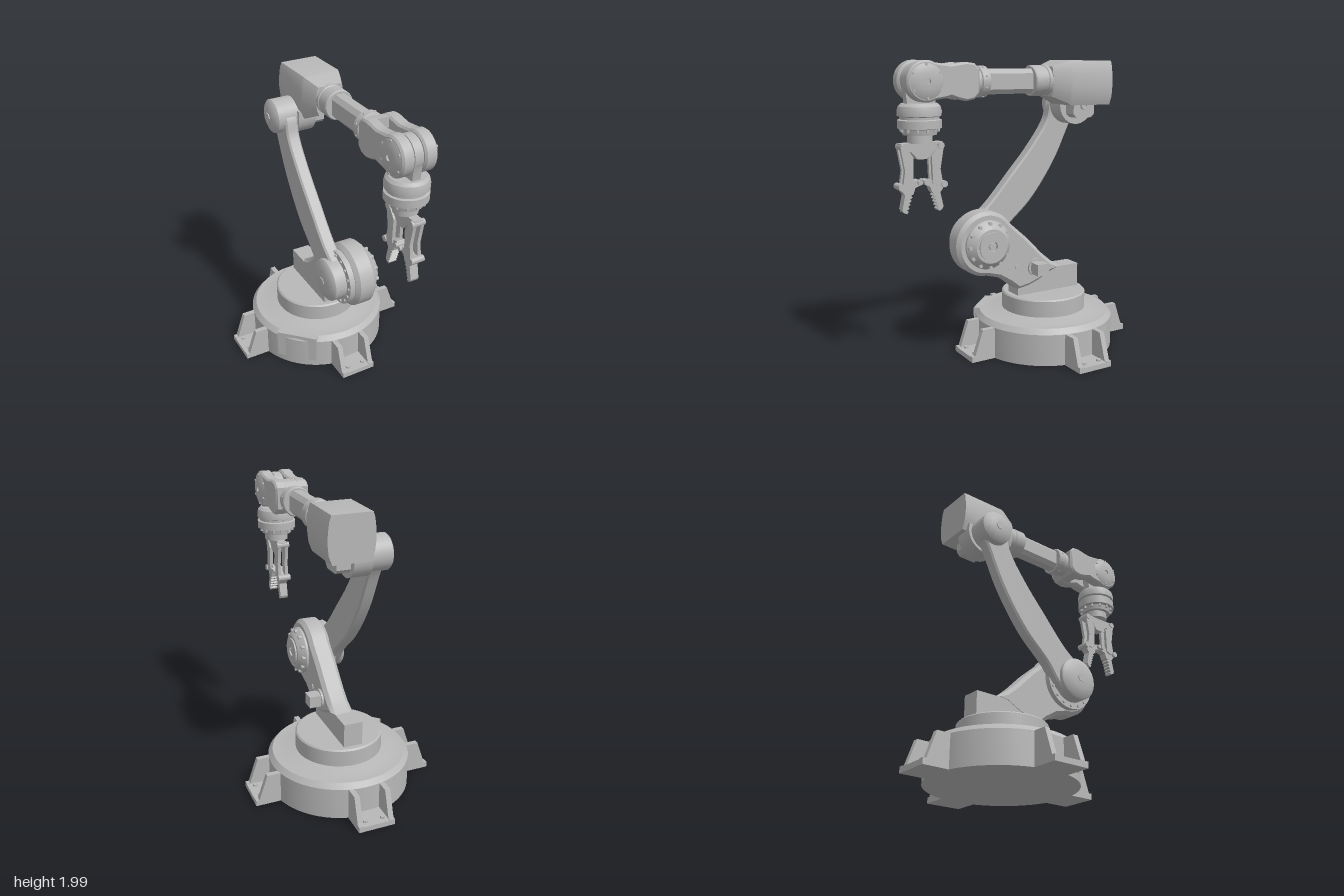
import * as THREE from 'three';
import { toCreasedNormals } from 'three/addons/utils/BufferGeometryUtils.js';

const grey = new THREE.MeshStandardMaterial({ color: 0xb8b8b8 });
grey.name = 'machine grey';

export function createModel() {
  const root = new THREE.Group();
  root.name = 'robotArm';

  const add = (name, geo, x = 0, y = 0, z = 0, parent = root) => {
    const mesh = new THREE.Mesh(toCreasedNormals(geo, 0.55), grey);
    mesh.name = name;
    mesh.position.set(x, y, z);
    parent.add(mesh);
    return mesh;
  };
  // Plate with a [z, y] outline, running from x0 to x1
  const plate = (name, pts, x0, x1, bevel = 0, parent = root) => {
    const shape = new THREE.Shape(pts.map(([z, y]) => new THREE.Vector2(-z, y)));
    const geo = new THREE.ExtrudeGeometry(shape, {
      depth: x1 - x0 - 2 * bevel, bevelEnabled: bevel > 0, bevelSize: bevel,
      bevelThickness: bevel, bevelOffset: -bevel, bevelSegments: 1,
    });
    return add(name, geo.rotateY(Math.PI / 2), x0 + bevel, 0, 0, parent);
  };
  // Turned part: [radius, position] pairs along the chosen axis
  const turned = (name, pts, axis, x, y, z, seg = 48) => {
    const geo = new THREE.LatheGeometry(pts.map(p => new THREE.Vector2(...p)), seg);
    if (axis === 'x') geo.rotateZ(-Math.PI / 2);
    if (axis === 'z') geo.rotateX(Math.PI / 2);
    return add(name, geo, x, y, z);
  };
  const box = (name, w, h, d, x, y, z, parent) => add(name, new THREE.BoxGeometry(w, h, d), x, y, z, parent);
  const rod = (r, x0, x1) => [[0, x0], [r, x0], [r, x1], [0, x1]];
  const arc = (cz, cy, r, a0, a1, n = 40) => Array.from({ length: n + 1 }, (_, i) => {
    const a = (a0 + (a1 - a0) * i / n) * Math.PI / 180;
    return [cz + r * Math.cos(a), cy + r * Math.sin(a)];
  });
  const boltRing = (name, n, r, size, x0, x1, y, z, phase = 0) => {
    for (let i = 0; i < n; i++) {
      const a = phase + i / n * Math.PI * 2;
      turned(name, rod(size, x0, x1), 'x', 0, y + r * Math.sin(a), z + r * Math.cos(a), 8);
    }
  };

  // Round base and turntable
  const bz = -0.24;
  turned('base', [[0, 0], [0.484, 0], [0.484, 0.215], [0.455, 0.25], [0.37, 0.25], [0.31, 0.27], [0, 0.27]], 'y', 0, 0, bz, 64);
  turned('turntable', [[0, 0.26], [0.295, 0.26], [0.295, 0.38], [0.285, 0.39], [0, 0.39]], 'y', 0, 0, bz, 64);
  const panel = box('connectorBox', 0.29, 0.2, 0.05, -0.319, 0.15, bz + 0.319);
  panel.rotation.y = -Math.PI / 4;

  // Four bolted feet, each with two gussets
  for (let i = 0; i < 4; i++) {
    const foot = new THREE.Group();
    foot.name = 'foot';
    foot.position.z = bz;
    foot.rotation.y = i * Math.PI / 2;
    root.add(foot);
    box('footPlate', 0.25, 0.035, 0.2, 0, 0.0175, 0.54, foot);
    for (const s of [-1, 1]) {
      plate('footGusset', [[0.44, 0], [0.64, 0], [0.64, 0.04], [0.617, 0.04], [0.557, 0.215], [0.44, 0.215]],
        s * 0.107 - 0.018, s * 0.107 + 0.018, 0, foot);
      add('footBolt', new THREE.CylinderGeometry(0.017, 0.017, 0.014, 6), s * 0.06, 0.041, 0.59, foot);
    }
  }

  // Pedestal and lower link
  box('pedestal', 0.13, 0.175, 0.5, 0, 0.4675, -0.24);
  const sy = 0.79, sz = 0.255;
  plate('lowerLink', [...arc(sz, sy, 0.22, 147, -90),
    [0.165, 0.545], [0.085, 0.495], [0.01, 0.435], [-0.08, 0.45], [-0.16, 0.478], [-0.26, 0.528],
    [-0.34, 0.555], [-0.26, 0.605], [-0.18, 0.673], [-0.06, 0.795]], -0.067, 0.085, 0.025);

  // Shoulder wheel with bolts
  turned('shoulderWheel', [[0, 0.07], [0.165, 0.07], [0.165, 0.1], [0.145, 0.125], [0.115, 0.15], [0.095, 0.15],
    [0.095, 0.16], [0.035, 0.16], [0.035, 0.14], [0, 0.14]], 'x', 0, sy, sz);
  turned('shoulderHexBolt', rod(0.024, 0.13, 0.156), 'x', 0, sy, sz, 6);
  boltRing('shoulderBolt', 12, 0.148, 0.013, 0.08, 0.132, sy, sz);
  turned('shoulderDisc', rod(0.19, -0.105, -0.06), 'x', 0, sy, sz);
  boltRing('discBolt', 16, 0.17, 0.01, -0.115, -0.1, sy, sz);
  turned('shoulderHub', [[0, -0.215], [0.08, -0.215], [0.135, -0.195], [0.145, -0.185], [0.145, -0.09], [0, -0.09]], 'x', 0, sy, sz);
  turned('hubBolt', rod(0.03, -0.22, -0.2), 'x', 0, sy, sz, 6);

  // Side fitting on the lower link
  turned('fittingRing', [[0.052, 0.08], [0.065, 0.08], [0.065, 0.1], [0.052, 0.1], [0.052, 0.08]], 'x', 0, 0.583, -0.125);
  box('fittingBlock', 0.1, 0.08, 0.09, 0.13, 0.583, -0.125);
  turned('linkBolt', rod(0.02, 0.08, 0.092), 'x', 0, 0.6, 0.025, 12);

  // Curved upper link
  const linkCurve = new THREE.CatmullRomCurve3([
    [0.33, 0.89], [0.17, 1.01], [-0.02, 1.215], [-0.18, 1.395], [-0.31, 1.58], [-0.35, 1.71], [-0.46, 1.79],
    [-0.56, 1.74], [-0.56, 1.66], [-0.5, 1.55], [-0.37, 1.29], [-0.18, 1.03], [0.01, 0.855], [0.13, 0.71],
    [0.25, 0.65], [0.36, 0.69], [0.4, 0.8]].map(([z, y]) => new THREE.Vector3(z, y, 0)), true);
  plate('upperLink', linkCurve.getPoints(100).slice(0, -1).map(p => [p.x, p.y]), -0.16, -0.07, 0.012);

  // Elbow joint
  const ey = 1.69, ez = -0.463;
  turned('elbowHub', [[0, -0.23], [0.06, -0.23], [0.105, -0.21], [0.115, -0.2], [0.115, -0.05], [0, -0.05]], 'x', 0, ey, ez);
  turned('elbowHubBolt', rod(0.03, -0.236, -0.22), 'x', 0, ey, ez, 6);
  plate('elbowLug', [[ez + 0.135, ey + 0.05], ...arc(ez, ey, 0.135, 0, -180), [ez - 0.135, ey + 0.05]], -0.065, 0.06);
  plate('elbowBracket', [[ez + 0.085, 1.72], [ez + 0.085, 1.63], [ez + 0.06, 1.605], [ez - 0.06, 1.605],
    [ez - 0.085, 1.63], [ez - 0.085, 1.72]], 0.05, 0.15);
  turned('elbowBolt', [[0, 0.14], [0.032, 0.14], [0.032, 0.165], [0.016, 0.165], [0.016, 0.152], [0, 0.152]], 'x', 0, ey, ez, 16);

  // Elbow housing, lofted along z: [z, half width, bottom, top]
  const half = [[0.8, -1], [0.95, -0.6], [1, -0.1], [0.98, 0.35], [0.93, 0.75], [0.85, 1]];
  const ring = [...half, ...half.map(([x, y]) => [-x, y]).reverse()];
  const sections = [[-0.63, 0.152, 1.692, 1.985], [-0.31, 0.152, 1.695, 1.99], [-0.29, 0.146, 1.71, 1.985], [-0.185, 0.1, 1.755, 1.95]];
  const pos = [], index = [], n = ring.length;
  sections.forEach(([z, w, b, t], j) => ring.forEach(([x, y], i) => {
    pos.push(0.09 + x * w, (b + t) / 2 + y * (t - b) / 2, z);
    const k = (i + 1) % n, o = j * n;
    if (j < sections.length - 1) index.push(o + i, o + k, o + n + k, o + i, o + n + k, o + n + i);
    if (j === 0 && i > 0 && i < n - 1) index.push(0, i + 1, i);
    if (j === sections.length - 1 && i > 0 && i < n - 1) index.push(o, o + i, o + i + 1);
  }));
  const housing = new THREE.BufferGeometry();
  housing.setAttribute('position', new THREE.Float32BufferAttribute(pos, 3));
  housing.setIndex(index);
  add('elbowHousing', housing);

  // Forearm tube and collars
  const fx = 0.09, fy = 1.857;
  turned('rearCollar', [[0, -0.2], [0.1, -0.2], [0.1, -0.165], [0.094, -0.16], [0.094, -0.145], [0.1, -0.14],
    [0.1, -0.065], [0.094, -0.058], [0, -0.058]], 'z', fx, fy, 0);
  const tube = new THREE.Shape([[0.055, -0.05], [0.055, 0.05], [0.03, 0.08], [-0.03, 0.08], [-0.055, 0.05], [-0.055, -0.05],
    [-0.03, -0.08], [0.03, -0.08]].map(p => new THREE.Vector2(...p)));
  add('forearmTube', new THREE.ExtrudeGeometry(tube, { depth: 0.36, bevelEnabled: false }), fx, fy, -0.07);
  turned('frontCollar', [[0, 0.272], [0.093, 0.272], [0.099, 0.28], [0.099, 0.33], [0.09, 0.335], [0.09, 0.38], [0, 0.38]], 'z', fx, fy, 0);
  for (let i = 0; i < 8; i++) {
    const a = (i + 0.5) * Math.PI / 4;
    add('collarScrew', new THREE.SphereGeometry(0.008, 8, 6), fx + 0.098 * Math.cos(a), fy + 0.098 * Math.sin(a), 0.305);
  }

  // Wrist fork
  const wy = 1.868, wz = 0.722;
  const fork = [...arc(wz, wy, 0.125, 118, -118), [0.6, 1.765], [0.56, 1.775], [0.51, 1.757], [0.455, 1.745], [0.4, 1.755],
    [0.365, 1.795], [0.365, 1.94], [0.4, 1.973], [0.455, 1.98], [0.51, 1.972], [0.56, 1.965], [0.6, 1.97]];
  plate('forkRight', fork, -0.027, 0.055, 0.012);
  plate('forkLeft', fork, 0.122, 0.207, 0.012);
  plate('forkBridge', [[0.365, 1.795], [0.4, 1.757], [0.465, 1.75], [0.465, 1.978], [0.4, 1.971], [0.365, 1.94]], 0.04, 0.137);
  const cap = [[0, 0.19], [0.122, 0.19], [0.115, 0.203], [0.09, 0.217], [0.05, 0.225], [0.018, 0.226], [0.018, 0.215], [0, 0.215]];
  turned('wristCapLeft', cap, 'x', 0, wy, wz);
  turned('wristCapRight', cap.map(([r, x]) => [r, 0.18 - x]).reverse(), 'x', 0, wy, wz);
  boltRing('wristScrewLeft', 6, 0.1, 0.008, 0.2, 0.218, wy, wz, 0.5);
  boltRing('wristScrewRight', 6, 0.1, 0.008, -0.038, -0.02, wy, wz, 0.5);
  turned('wristPin', rod(0.04, 0, 0.18), 'x', 0, wy, wz, 24);
  plate('wristTongue', [...arc(wz, wy, 0.112, 205, -25), [wz + 0.09, 1.71], [wz - 0.09, 1.71]], 0.06, 0.117);

  // Gripper motor
  const gz = 0.725;
  turned('gripperMotor', [[0, 1.495], [0.078, 1.495], [0.078, 1.545], [0.105, 1.545], [0.112, 1.58], [0.136, 1.585], [0.136, 1.635],
    [0.122, 1.64], [0.122, 1.655], [0.136, 1.66], [0.137, 1.69], [0.13, 1.718], [0.112, 1.735], [0, 1.735]], 'y', fx, 0, gz);
  for (let i = 0; i < 12; i++) {
    const a = i * Math.PI / 6;
    add('motorScrew', new THREE.CylinderGeometry(0.01, 0.01, 0.025, 8), fx + 0.115 * Math.cos(a), 1.575, gz + 0.115 * Math.sin(a));
  }

  // Gripper palm and mirrored fingers
  const palm = [[0.14, 1.497], [0.143, 1.465], [0.125, 1.452], [0.07, 1.442], [0.03, 1.395]];
  plate('gripperPalm', [...palm, ...palm.map(([d, y]) => [-d, y]).reverse()].map(([d, y]) => [gz + d, y]), 0.06, 0.12);
  const link = [[0.143, 1.47], [0.11, 1.48], [0.06, 1.41], [0.066, 1.24], [0.095, 1.225], [0.135, 1.225], [0.118, 1.33]];
  const teeth = Array.from({ length: 11 }, (_, i) => [0.062 + i * 0.0036 + (i % 2) * 0.013, 1.185 - i * 0.011]);
  const jaw = [[0.15, 1.25], [0.1, 1.245], [0.07, 1.26], [0.03, 1.27], [0.008, 1.255], [0.015, 1.235], [0.05, 1.22],
    ...teeth, [0.108, 1.062], [0.13, 1.072], [0.138, 1.09], [0.118, 1.18], [0.148, 1.22]];
  for (const s of [-1, 1]) {
    const side = pts => pts.map(([d, y]) => [gz + s * d, y]);
    plate('fingerLinkOuter', side(link), 0.105, 0.128);
    plate('fingerLinkInner', side(link), 0.052, 0.075);
    plate('fingerJaw', side(jaw), 0.062, 0.118);
    for (const [d, y, r] of [[0.125, 1.475, 0.021], [0.143, 1.232, 0.021], [0.02, 1.252, 0.015]])
      turned('fingerPin', rod(r, 0.045, 0.135), 'x', 0, y, gz + s * d, 16);
  }
  return root;
}
